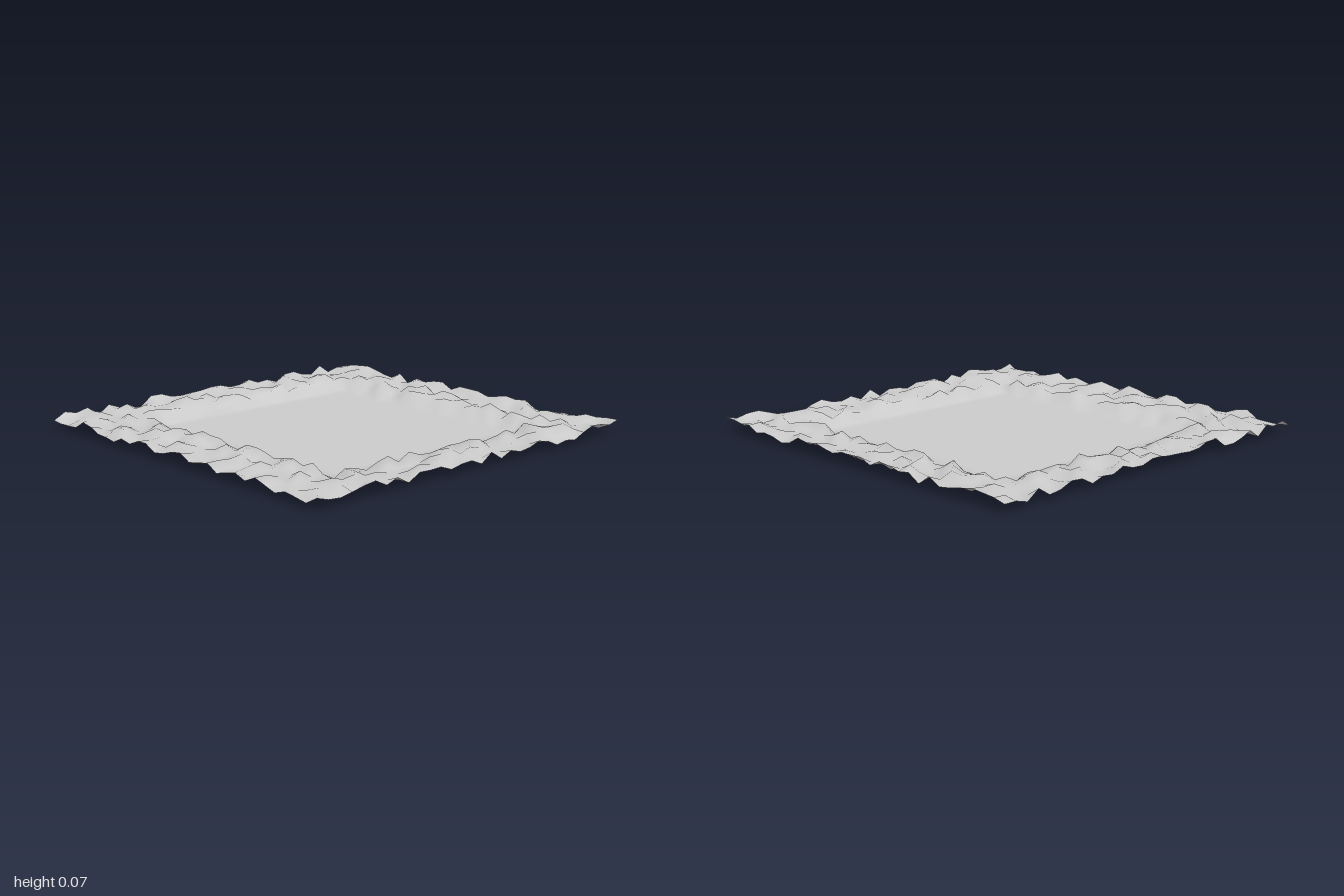
import * as THREE from 'three';

const SEGMENTS = 30;
const LOW = 0.02, HIGH = 0.072; // height range of the rough rim

// Small seeded random generator
function seeded(seed) {
  return () => {
    seed = (seed * 1664525 + 1013904223) % 4294967296;
    return seed / 4294967296;
  };
}

export function createModel() {
  const group = new THREE.Group();
  group.name = 'terrain';

  // Square sheet of ground, lying flat
  const geometry = new THREE.PlaneGeometry(2, 2, SEGMENTS, SEGMENTS);
  geometry.rotateX(-Math.PI / 2);

  // Rough rim around a flat sunken basin
  const random = seeded(7);
  const pos = geometry.attributes.position;
  for (let i = 0; i < pos.count; i++) {
    const column = i % (SEGMENTS + 1);
    const row = Math.floor(i / (SEGMENTS + 1));
    const inBasin = column >= 6 && column <= 25 && row >= 5 && row <= 25;
    pos.setY(i, inBasin ? 0 : LOW + (HIGH - LOW) * random());
  }
  geometry.computeVertexNormals();

  const ground = new THREE.Mesh(
    geometry,
    new THREE.MeshStandardMaterial({ color: 0xcccccc, side: THREE.DoubleSide })
  );
  ground.name = 'groundWithBasin';
  group.add(ground);
  return group;
}
